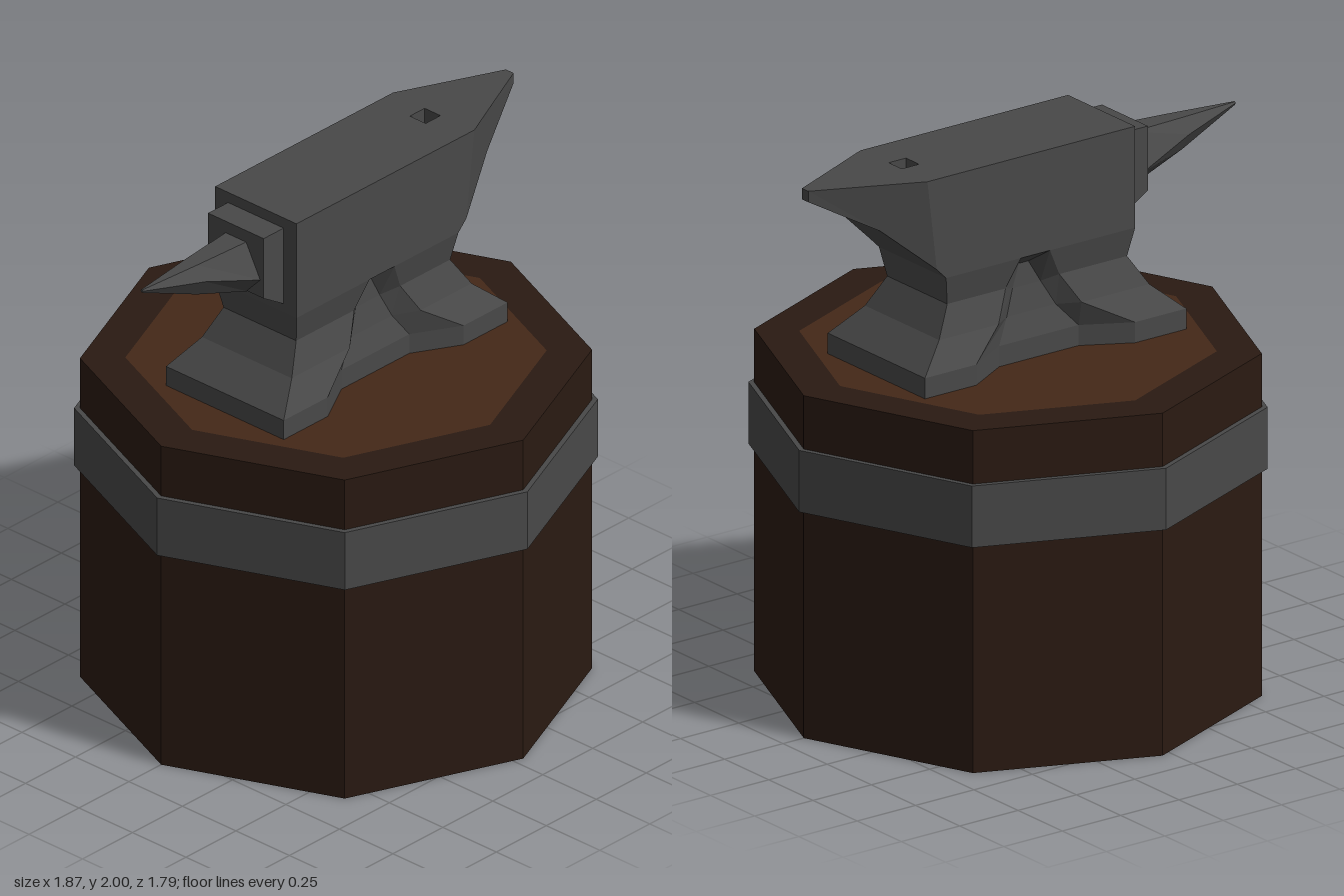
import * as THREE from 'three';

const mat = (color) => new THREE.MeshStandardMaterial({ color, flatShading: true, roughness: 0.9 });
const metal = mat(0x484848);
const bark = mat(0x2a1a12);
const wood = mat(0x442818);
const CX = 0.036; // centre of the stump and foot

function part(name, geometry, material) {
  const mesh = new THREE.Mesh(geometry, material);
  mesh.name = name;
  return mesh;
}

// Skin a row of cross-sections with equal point counts; optional end caps and open seam
function loft(rings, { caps = true, closed = true } = {}) {
  const p = [];
  const n = rings[0].length;
  const tri = (...pts) => pts.forEach((v) => p.push(...v));
  for (let i = 0; i < rings.length - 1; i++) {
    for (let j = 0; j < (closed ? n : n - 1); j++) {
      const k = (j + 1) % n;
      const [a, b, c, d] = [rings[i][j], rings[i][k], rings[i + 1][k], rings[i + 1][j]];
      tri(a, b, c);
      tri(a, c, d);
    }
  }
  if (caps) {
    const s = rings[0], e = rings[rings.length - 1];
    for (let j = 1; j < n - 1; j++) {
      tri(s[0], s[j + 1], s[j]);
      tri(e[0], e[j], e[j + 1]);
    }
  }
  const g = new THREE.BufferGeometry();
  g.setAttribute('position', new THREE.Float32BufferAttribute(p, 3));
  g.computeVertexNormals();
  return g;
}

// Eight-sided turned shape
function octagon(points) {
  const g = new THREE.LatheGeometry(points.map(([r, y]) => new THREE.Vector2(r, y)), 8);
  return g.translate(CX, 0, 0);
}

function createStump() {
  const g = new THREE.Group();
  g.name = 'stump';
  g.add(part('bark', octagon([[0.72, 0], [0.875, 0], [0.875, 1.25], [0.72, 1.25]]), bark));
  g.add(part('cutTop', octagon([[0.72, 1.25], [0, 1.25]]), wood));
  g.add(part('cutBottom', octagon([[0, 0], [0.72, 0]]), wood));
  g.add(part('ironBand', octagon([[0.87, 0.83], [0.895, 0.83], [0.895, 1.055], [0.87, 1.055]]), metal));
  return g;
}

// Flared foot with an arched notch in the front and back
function createFoot() {
  // y, left x, right x, half depth, notch: outer left/right, inner left/right, inner depth, inner y
  const levels = [
    [1.25, -0.52, 0.6, 0.275, -0.3, 0.38, -0.13, 0.21, 0.18, 1.25],
    [1.325, -0.52, 0.6, 0.275, -0.3, 0.38, -0.13, 0.21, 0.18, 1.325],
    [1.42, -0.41, 0.49, 0.21, -0.12, 0.235, -0.055, 0.155, 0.15, 1.41],
    [1.525, -0.345, 0.425, 0.17, -0.055, 0.175, -0.005, 0.115, 0.13, 1.5],
    [1.63, -0.365, 0.445, 0.19, 0, 0.125, 0.04, 0.08, 0.12, 1.58],
    [1.63, -0.365, 0.445, 0.19, 0, 0.125, 0.04, 0.08, 0.19, 1.63],
  ];
  const rings = levels.map(([y, xl, xr, z, ol, or, il, ir, zi, yi]) => {
    const front = [[xl, y, z], [ol, y, z], [il, yi, zi], [ir, yi, zi], [or, y, z], [xr, y, z]];
    const back = front.map(([x, py, pz]) => [x, py, -pz]).reverse();
    return [...front, ...back];
  });
  return part('foot', loft(rings, { caps: false }), metal);
}

// Main block running out to the pointed heel
function createBody() {
  const g = new THREE.Group();
  g.name = 'body';
  // top x, bottom x, bottom y, half depth
  const sections = [
    [-0.365, -0.365, 1.63, 0.19],
    [0.445, 0.445, 1.63, 0.19],
    [0.525, 0.485, 1.67, 0.19],
    [0.69, 0.67, 1.83, 0.115],
    [0.905, 0.905, 1.96, 0.018],
  ];
  const rings = sections.map(([xt, xb, y, z]) => [[xt, 2, z], [xb, y, z], [xb, y, -z], [xt, 2, -z]]);
  g.add(part('block', loft(rings, { closed: false }), metal));

  // Working face with a square hole
  const outline = [
    ...sections.map(([x, , , z]) => new THREE.Vector2(x, -z)),
    ...sections.map(([x, , , z]) => new THREE.Vector2(x, z)).reverse(),
  ];
  const face = new THREE.Shape(outline);
  const hx = 0.482, h = 0.037, depth = 0.08;
  face.holes.push(new THREE.Path([[-h, -h], [-h, h], [h, h], [h, -h]].map(([x, y]) => new THREE.Vector2(hx + x, y))));
  g.add(part('face', new THREE.ShapeGeometry(face).rotateX(-Math.PI / 2).translate(0, 2, 0), metal));

  // Hole walls and floor: a box without its top, seen from inside
  const box = new THREE.BoxGeometry(2 * h, depth, 2 * h).translate(hx, 2 - depth / 2, 0);
  box.setIndex(Array.from(box.index.array).filter((_, i) => i < 12 || i > 17));
  const inside = metal.clone();
  inside.side = THREE.DoubleSide;
  g.add(part('squareHole', box, inside));
  return g;
}

// Step between body and horn
function createShoulder() {
  const ring = (x, bottom) => [[x, 1.96, 0.13], [x, bottom, 0.13], [x, bottom, -0.13], [x, 1.96, -0.13]];
  return part('shoulder', loft([ring(-0.465, 1.725), ring(-0.36, 1.66)]), metal);
}

// Six-sided tapering horn
function createHorn() {
  // x, top y, side y, bottom y, half depth
  const sections = [
    [-0.935, 1.904, 1.9, 1.893, 0.006],
    [-0.69, 1.91, 1.86, 1.795, 0.068],
    [-0.46, 1.915, 1.79, 1.72, 0.115],
  ];
  const rings = sections.map(([x, t, m, b, z]) => {
    const f = 0.42 * z;
    return [[x, t, f], [x, m, z], [x, b, f], [x, b, -f], [x, m, -z], [x, t, -f]];
  });
  return part('horn', loft(rings), metal);
}

export function createModel() {
  const model = new THREE.Group();
  model.name = 'anvilOnStump';
  const anvil = new THREE.Group();
  anvil.name = 'anvil';
  anvil.add(createFoot(), createBody(), createShoulder(), createHorn());
  model.add(createStump(), anvil);
  return model;
}
